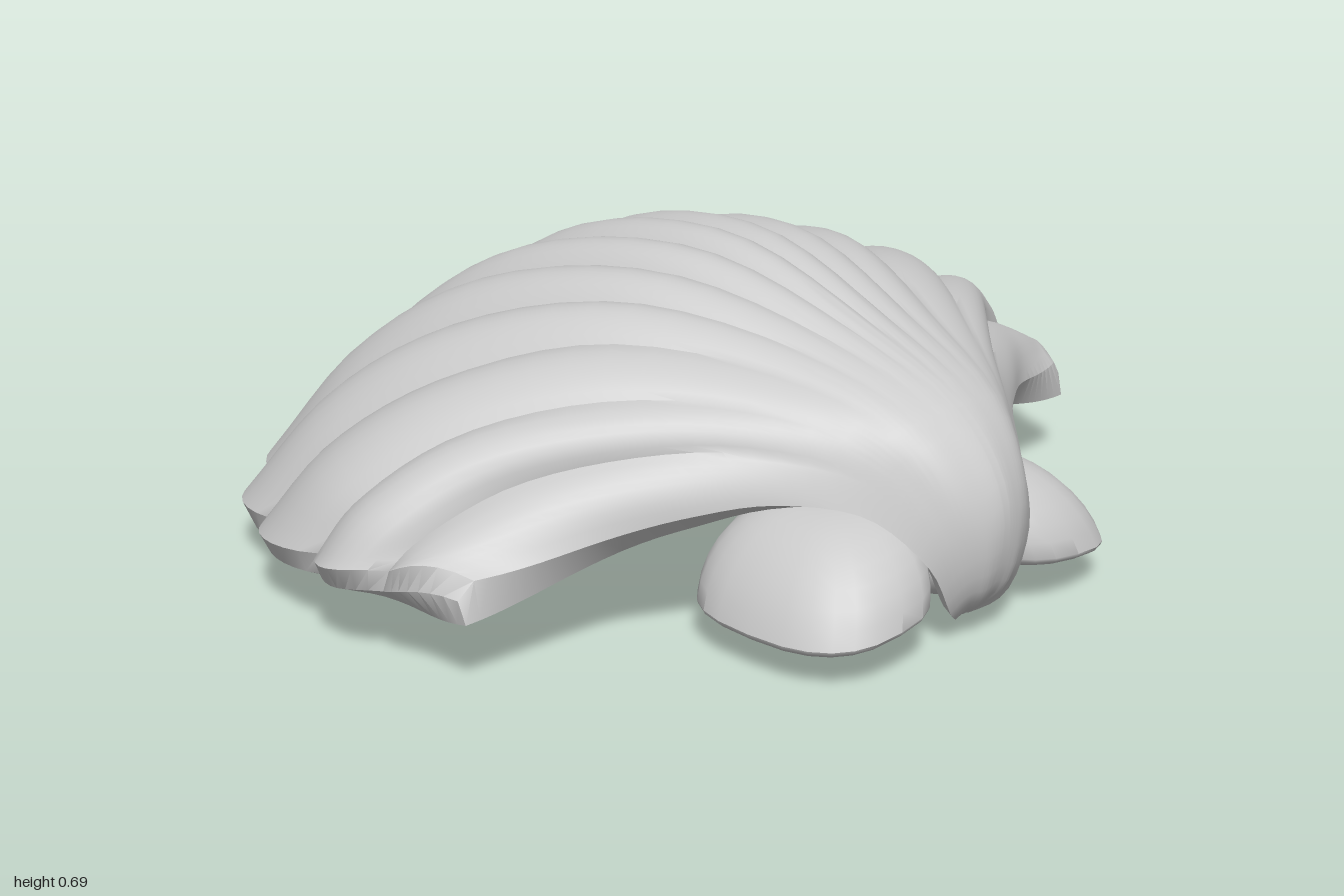
import * as THREE from 'three';
import { toCreasedNormals } from 'three/addons/utils/BufferGeometryUtils.js';

const V = (x, y, z) => new THREE.Vector3(x, y, z);
const RIBS = 13, COLS = RIBS * 8, ROWS = 36;

// Growth lines from the beak to the rim: middle, three in between, front margin
const growthLines = [
  [[0, .04, .78], [0, .13, .87], [0, .31, .89], [0, .46, .79], [0, .585, .51], [0, .69, .13], [0, .62, -.3], [0, .43, -.6], [0, .085, -.89]],
  [[0, .04, .78], [.03, .12, .867], [.045, .29, .885], [.06, .455, .785], [.1, .575, .505], [.19, .66, .12], [.28, .58, -.3], [.35, .4, -.58], [.41, .1, -.83]],
  [[0, .04, .78], [.05, .12, .86], [.085, .28, .87], [.13, .44, .77], [.22, .55, .5], [.39, .595, .16], [.56, .505, -.14], [.69, .35, -.35], [.8, .13, -.5]],
  [[0, .04, .78], [.065, .11, .85], [.12, .25, .85], [.19, .4, .74], [.36, .475, .53], [.57, .48, .32], [.77, .42, .14], [.92, .31, .04], [.99, .2, -.01]],
  [[0, .04, .78], [.08, .08, .83], [.15, .2, .83], [.23, .3, .74], [.36, .33, .62], [.5, .325, .53], [.65, .305, .44], [.79, .285, .37], [.91, .27, .3]],
].map(points => new THREE.CatmullRomCurve3(points.map(p => V(...p))));

// Curve across the whole shell at a given distance t from the beak
function crossCurve(t) {
  const half = growthLines.map(line => line.getPoint(t));
  const mirrored = half.slice(1).reverse().map(p => V(-p.x, p.y, p.z));
  return new THREE.CatmullRomCurve3([...mirrored, ...half], false, 'catmullrom', 0.5);
}

function shellGeometry() {
  const outer = [], inner = [], lip = [];
  const e = 0.004;
  for (let j = 0; j <= ROWS; j++) {
    const t = j / ROWS;
    const row = crossCurve(t);
    const before = crossCurve(Math.max(0, t - e)), after = crossCurve(Math.min(1, t + e));
    const ribDepth = 0.042 * THREE.MathUtils.smoothstep(t, 0.38, 0.85);
    const thickness = (0.045 + 0.07 * t) * THREE.MathUtils.smoothstep(t, 0, 0.25);
    const outerRow = [], innerRow = [];
    for (let i = 0; i <= COLS; i++) {
      const u = i / COLS;
      const p = row.getPoint(u);
      const du = row.getPoint(Math.min(1, u + e)).sub(row.getPoint(Math.max(0, u - e)));
      const along = after.getPoint(u).sub(before.getPoint(u)).normalize();
      const normal = du.cross(along).normalize();
      // Rounded ribs with sharp valleys, scalloped towards the rim
      const valley = 1 - Math.pow(Math.abs(Math.cos(Math.PI * (u - 0.5) * RIBS)), 0.8);
      const scallop = 0.03 * valley * THREE.MathUtils.smoothstep(t, 0.8, 1);
      outerRow.push(p.clone().addScaledVector(normal, 0.01 - ribDepth * valley).addScaledVector(along, -scallop));
      innerRow.push(p.clone().addScaledVector(normal, -thickness));
      if (j === ROWS) {
        lip.push(outerRow[i].clone().lerp(innerRow[i], 0.4).addScaledVector(along, 0.025));
      }
    }
    outer.push(outerRow);
    inner.push(innerRow);
  }

  // Outside, rim and inside form one continuous grid
  const rows = [...outer, lip, ...inner.reverse()];
  const positions = rows.flat().flatMap(p => [p.x, p.y, p.z]);
  const index = [];
  const at = (i, j) => j * (COLS + 1) + i;
  const quad = (a, b, c, d) => index.push(a, b, c, a, c, d);
  for (let j = 0; j < rows.length - 1; j++) {
    for (let i = 0; i < COLS; i++) quad(at(i, j), at(i + 1, j), at(i + 1, j + 1), at(i, j + 1));
  }
  // Close the two front margins
  const last = rows.length - 1;
  for (let j = 0; j <= ROWS; j++) {
    quad(at(COLS, j), at(COLS, last - j), at(COLS, last - j - 1), at(COLS, j + 1));
    quad(at(0, j + 1), at(0, last - j - 1), at(0, last - j), at(0, j));
  }
  const geometry = new THREE.BufferGeometry();
  geometry.setAttribute('position', new THREE.Float32BufferAttribute(positions, 3));
  geometry.setIndex(index);
  return toCreasedNormals(geometry, 0.7);
}

// Squarish dome, peaked towards the middle, with a shallow underside
function footGeometry(side) {
  const geometry = new THREE.SphereGeometry(1, 24, 16);
  const pos = geometry.attributes.position;
  const soften = v => Math.sign(v) * Math.pow(Math.abs(v), 0.75);
  for (let i = 0; i < pos.count; i++) {
    const x = soften(pos.getX(i)), y = pos.getY(i), z = soften(pos.getZ(i));
    const out = x * side;
    pos.setXYZ(i,
      side * (0.275 + out * 0.185 - 0.06 * Math.max(0, y)),
      0.115 + y * (y > 0 ? 0.18 : 0.04) - 0.02 * out,
      0.64 + z * 0.235 - 0.03 * Math.max(0, y));
  }
  geometry.computeVertexNormals();
  return toCreasedNormals(geometry, 0.7);
}

export function createModel() {
  const group = new THREE.Group();
  group.name = 'scallopShell';
  const material = new THREE.MeshStandardMaterial({ color: 0xcccccc, side: THREE.DoubleSide });
  const add = (name, geometry) => {
    const mesh = new THREE.Mesh(geometry, material);
    mesh.name = name;
    group.add(mesh);
  };
  add('ribbedShell', shellGeometry());
  add('leftFoot', footGeometry(1));
  add('rightFoot', footGeometry(-1));
  // Hinge filling the beak between the feet
  add('hinge', new THREE.SphereGeometry(1, 20, 14).scale(0.13, 0.1, 0.12).translate(0, 0.18, 0.73));
  return group;
}
